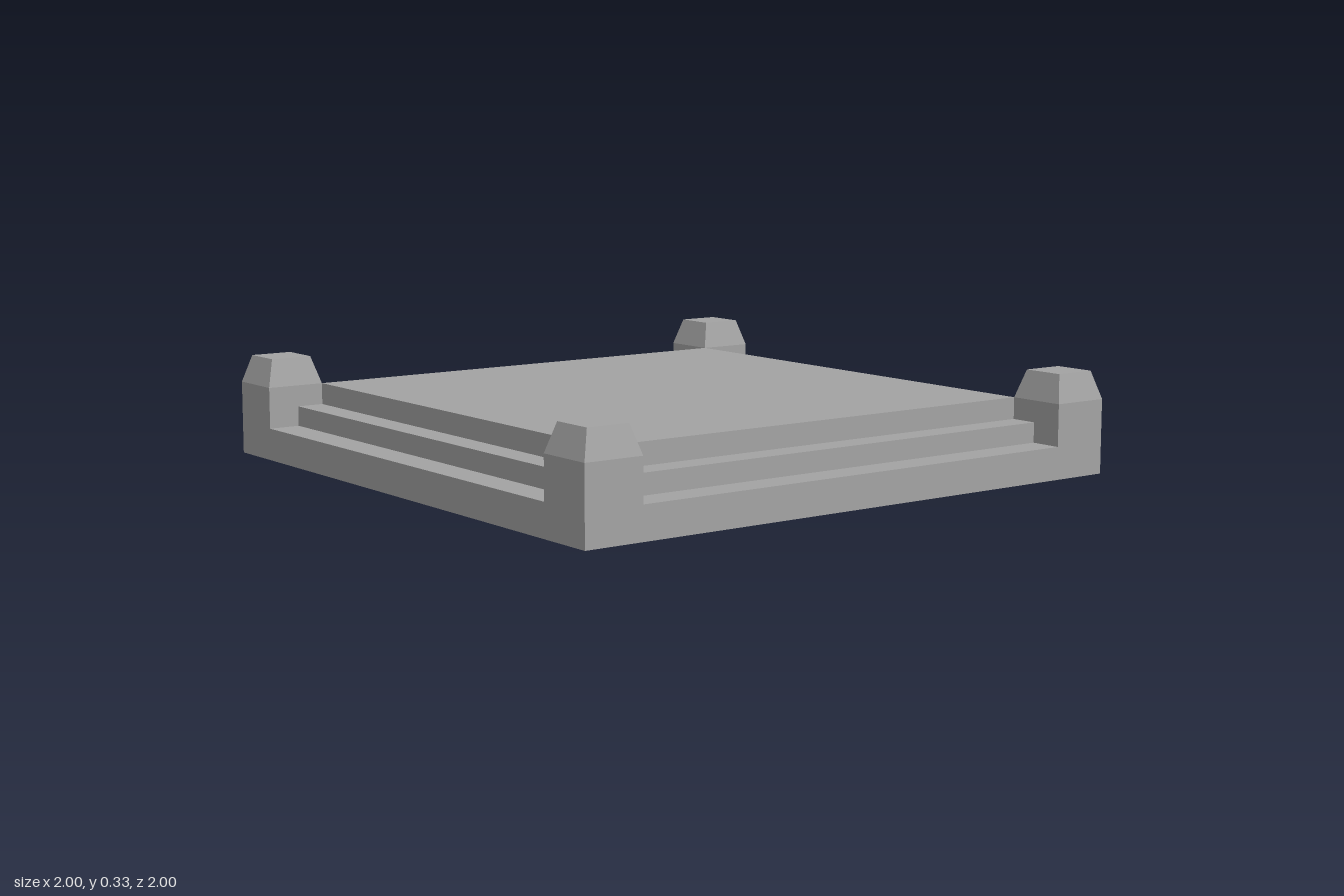
import * as THREE from 'three';

const material = new THREE.MeshStandardMaterial({
  color: 0xa3a3a3, flatShading: true, side: THREE.DoubleSide,
});

const INNER = 0.805;   // half width of the top plate, inner edge of the posts
const MID = 0.895;     // riser between the two treads
const LOW = 0.105, STEP = 0.17, TOP = 0.24, CAP = 0.33;

function addMesh(parent, name, geometry) {
  const mesh = new THREE.Mesh(geometry, material);
  mesh.name = name;
  parent.add(mesh);
  return mesh;
}

function flatShape(points) {
  return new THREE.ShapeGeometry(new THREE.Shape(points.map(([x, y]) => new THREE.Vector2(x, y))));
}

// Sweeps a [z, y] profile along x, one flat strip per segment
function sweepX(profile, half) {
  const positions = [];
  for (let i = 0; i < profile.length - 1; i++) {
    const [z0, y0] = profile[i], [z1, y1] = profile[i + 1];
    positions.push(-half, y0, z0, half, y0, z0, half, y1, z1);
    positions.push(-half, y0, z0, half, y1, z1, -half, y1, z1);
  }
  const geometry = new THREE.BufferGeometry();
  geometry.setAttribute('position', new THREE.Float32BufferAttribute(positions, 3));
  geometry.computeVertexNormals();
  return geometry;
}

// One side of the hollow base: outer wall, two steps and the post flanks
function createSide() {
  const side = new THREE.Group();
  side.name = 'side';

  addMesh(side, 'outerWall', flatShape([
    [-1, 0], [1, 0], [1, TOP], [INNER, TOP], [INNER, LOW],
    [-INNER, LOW], [-INNER, TOP], [-1, TOP],
  ])).position.z = 1;

  addMesh(side, 'steps', sweepX(
    [[1, LOW], [MID, LOW], [MID, STEP], [INNER, STEP], [INNER, TOP]], INNER));

  // Stepped flanks closing the steps against the posts, facing the middle of the side
  for (const s of [-1, 1]) {
    const profile = [[1, LOW], [MID, LOW], [MID, STEP], [INNER, STEP], [INNER, TOP], [1, TOP]];
    const flank = addMesh(side, 'postFlank',
      flatShape(profile.map(([z, y]) => [s * z, y])).rotateY(-s * Math.PI / 2));
    flank.position.x = s * INNER;
  }
  return side;
}

// Tapered cap, open underneath
function createCap() {
  const cap = new THREE.Group();
  cap.name = 'postCap';
  const half = (1 - INNER) / 2, topHalf = half - 0.027;
  const taper = new THREE.CylinderGeometry(
    topHalf * Math.SQRT2, half * Math.SQRT2, CAP - TOP, 4, 1, true).rotateY(Math.PI / 4);
  addMesh(cap, 'capTaper', taper).position.y = (TOP + CAP) / 2;
  addMesh(cap, 'capTop', new THREE.PlaneGeometry(2 * topHalf, 2 * topHalf)
    .rotateX(-Math.PI / 2)).position.y = CAP;
  return cap;
}

export function createModel() {
  const model = new THREE.Group();
  model.name = 'steppedPlatform';

  addMesh(model, 'topPlate', new THREE.PlaneGeometry(2 * INNER, 2 * INNER)
    .rotateX(-Math.PI / 2)).position.y = TOP;

  for (let i = 0; i < 4; i++) {
    const side = createSide();
    side.rotation.y = i * Math.PI / 2;
    model.add(side);
  }

  const centre = (1 + INNER) / 2;
  for (const x of [-1, 1]) for (const z of [-1, 1]) {
    const cap = createCap();
    cap.position.set(x * centre, 0, z * centre);
    model.add(cap);
  }
  return model;
}
